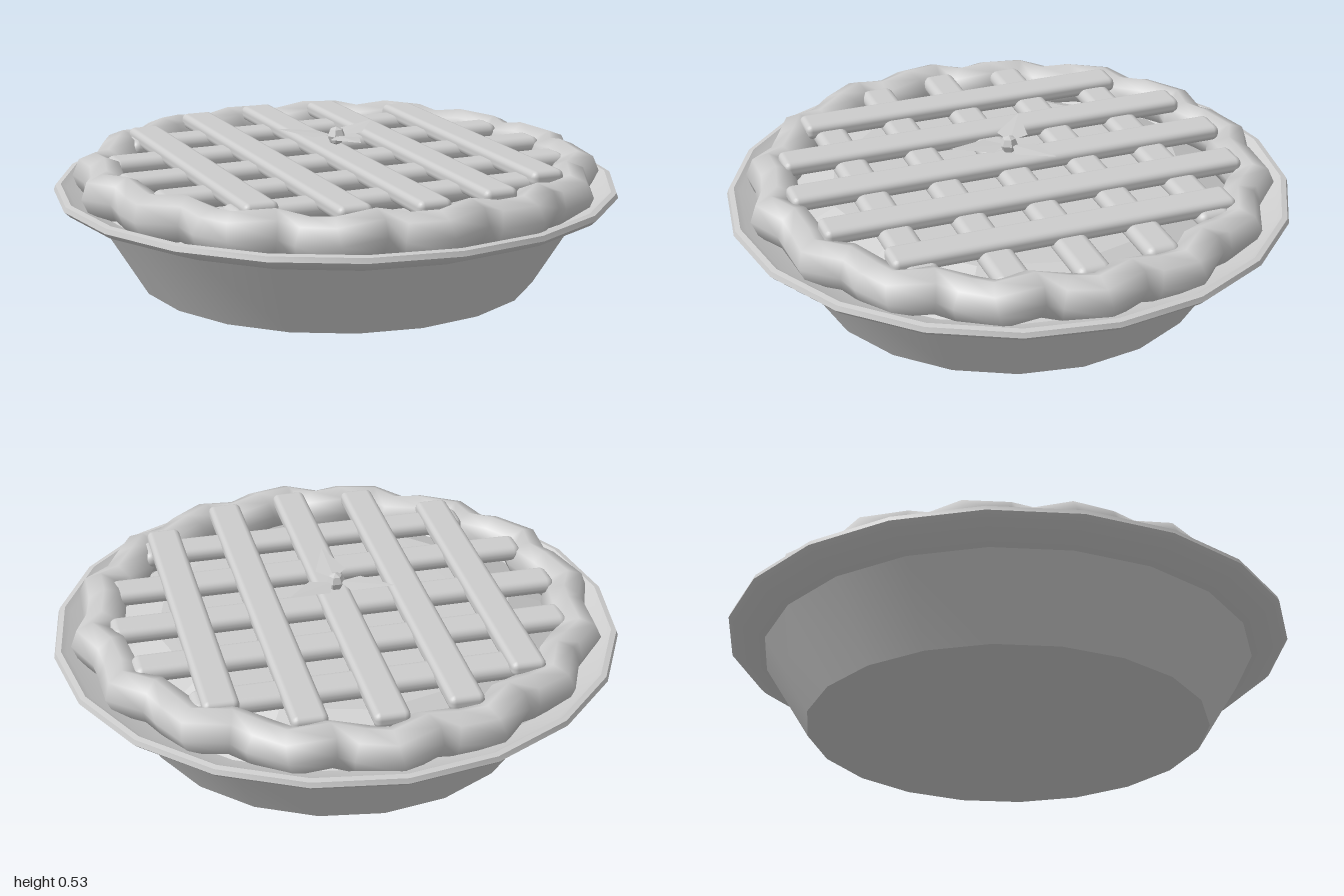
import * as THREE from 'three';
import { toCreasedNormals } from 'three/addons/utils/BufferGeometryUtils.js';
import { RoundedBoxGeometry } from 'three/addons/geometries/RoundedBoxGeometry.js';

const clay = new THREE.MeshStandardMaterial({ color: 0xcccccc, side: THREE.DoubleSide });
clay.name = 'pale grey';

function add(parent, name, geometry, x = 0, y = 0, z = 0) {
  const mesh = new THREE.Mesh(geometry, clay);
  mesh.name = name;
  mesh.position.set(x, y, z);
  parent.add(mesh);
  return mesh;
}

function lathe(profile, sides, crease) {
  const points = profile.map(([r, y]) => new THREE.Vector2(r, y));
  return toCreasedNormals(new THREE.LatheGeometry(points, sides), crease);
}

// Closed ring that bulges in and out, and gently up and down
class CrimpedRing extends THREE.Curve {
  getPoint(t, target = new THREE.Vector3()) {
    const a = t * Math.PI * 2;
    const r = 0.833 + 0.026 * Math.cos(16 * a);
    const y = 0.362 + 0.012 * Math.cos(16 * a + 1.6) + 0.004 * Math.sin(5 * a);
    return target.set(r * Math.cos(a), y, r * Math.sin(a));
  }
}

// Kite-shaped leaf pointing along +z, folded along its middle
function leafGeometry() {
  const g = new THREE.BufferGeometry();
  g.setAttribute('position', new THREE.Float32BufferAttribute([
    0, 0.5, 0.015, 0.055, 0.502, 0.075, 0, 0.517, 0.215,
    0, 0.5, 0.015, 0, 0.517, 0.215, -0.055, 0.502, 0.075,
  ], 3));
  // Wind the faces so that they look upwards
  g.setIndex([0, 2, 1, 3, 5, 4]);
  const flat = g.toNonIndexed();
  flat.computeVertexNormals();
  if (flat.attributes.normal.getY(0) < 0) {
    g.setIndex([0, 1, 2, 3, 4, 5]);
    const flipped = g.toNonIndexed();
    flipped.computeVertexNormals();
    return flipped;
  }
  return flat;
}

export function createModel() {
  const pie = new THREE.Group();
  pie.name = 'pie';

  // Dish with sloping wall, flared lip and open inside
  add(pie, 'dish', lathe([
    [0, 0], [0.71, 0], [0.87, 0.263], [0.98, 0.306], [1, 0.325], [0.994, 0.342],
    [0.975, 0.346], [0.955, 0.332], [0.86, 0.29], [0.7, 0.03], [0, 0.03],
  ], 20, 0.6));

  // Filling: flat top with a sloping edge
  add(pie, 'filling', lathe([[0.86, 0.27], [0.64, 0.37], [0, 0.38]], 12, 0.1));

  // Crimped crust
  add(pie, 'crust', new THREE.TubeGeometry(new CrimpedRing(), 48, 0.08, 8, true));

  // Lattice: front-to-back strips lie over the side-to-side ones
  const lattice = new THREE.Group();
  lattice.name = 'lattice';
  pie.add(lattice);
  const lengths = [1.22, 1.52, 1.6, 1.52, 1.22];
  lengths.forEach((length, i) => {
    const offset = (i - 2) * 0.26;
    add(lattice, 'upperStrip', new RoundedBoxGeometry(0.122, 0.055, length, 2, 0.022), offset, 0.427, 0);
    add(lattice, 'lowerStrip', new RoundedBoxGeometry(length, 0.06, 0.122, 3, 0.029), 0, 0.4, offset);
  });

  // Ornament: three leaves around a small berry
  const ornament = new THREE.Group();
  ornament.name = 'ornament';
  pie.add(ornament);
  const leaf = leafGeometry();
  for (let i = 0; i < 3; i++) {
    add(ornament, 'leaf', leaf).rotation.y = i * Math.PI * 2 / 3;
  }
  add(ornament, 'berry', toCreasedNormals(new THREE.SphereGeometry(0.033, 6, 4), 0.2), 0, 0.498, 0);

  return pie;
}
